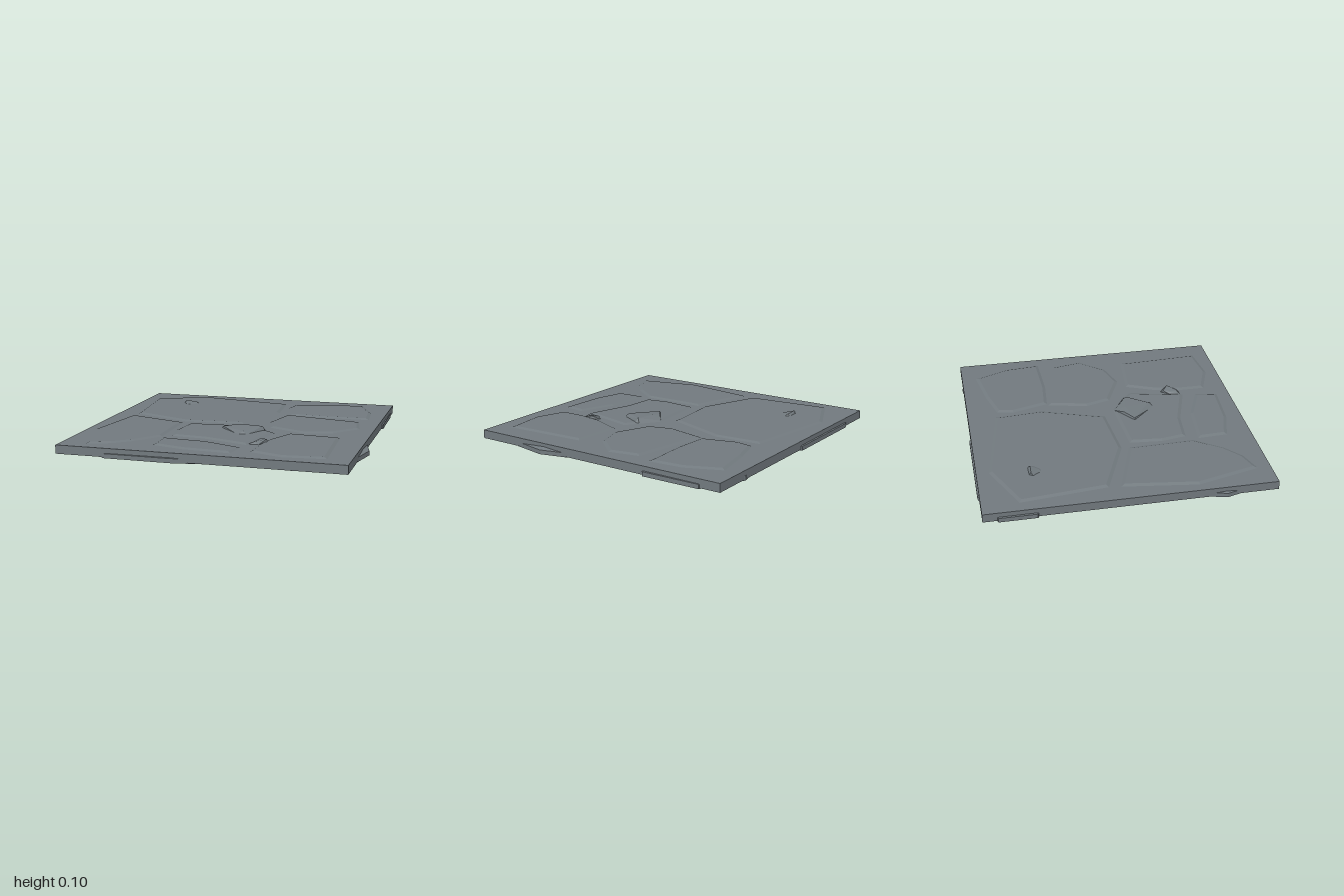
import * as THREE from 'three';
import { ConvexGeometry } from 'three/addons/geometries/ConvexGeometry.js';

const stoneGrey = new THREE.MeshStandardMaterial({ color: 0x71797e, flatShading: true, side: THREE.DoubleSide });
stoneGrey.name = 'stone grey';

// Moves every edge of an outline inwards by the same distance
function insetOutline(outline, distance) {
  const n = outline.length;
  const normal = (p, q) => {
    const dx = q[0] - p[0], dz = q[1] - p[1], l = Math.hypot(dx, dz);
    return [-dz / l, dx / l];
  };
  return outline.map((p, i) => {
    const a = normal(outline[(i + n - 1) % n], p);
    const b = normal(p, outline[(i + 1) % n]);
    const k = distance / (1 + a[0] * b[0] + a[1] * b[1]);
    return [p[0] + (a[0] + b[0]) * k, p[1] + (a[1] + b[1]) * k];
  });
}

// Hollow shell open below: outline of [x, z], rings of [inset, y] from low to high, closed on top
function shellGeometry(outline, rings) {
  const n = outline.length;
  const cx = outline.reduce((s, p) => s + p[0], 0) / n;
  const cz = outline.reduce((s, p) => s + p[1], 0) / n;
  const loops = rings.map(([inset, y]) => insetOutline(outline, inset).map(([x, z]) => [x, y, z]));
  const pos = [];
  const tri = (...points) => points.forEach((p) => pos.push(...p));
  const top = loops[loops.length - 1];
  for (let i = 0; i < n; i++) {
    const j = (i + 1) % n;
    tri([cx, top[0][1], cz], top[j], top[i]);
    for (let r = 0; r + 1 < loops.length; r++) {
      const a = loops[r], b = loops[r + 1];
      tri(a[j], a[i], b[i]);
      tri(a[j], b[i], b[j]);
    }
  }
  const g = new THREE.BufferGeometry();
  g.setAttribute('position', new THREE.Float32BufferAttribute(pos, 3));
  g.computeVertexNormals();
  return g;
}

const slab = [[-.98, -.97], [.96, -.97], [.96, .97], [-.98, .97]];

// Raised paving stones on the top face
const paving = [
  [[-.89, -.72], [-.53, -.88], [.15, -.77], [.175, -.44], [.02, -.005], [-.4, .03], [-.83, -.14]],
  [[.23, -.75], [.45, -.81], [.74, -.86], [.84, -.62], [.86, -.38], [.52, -.37], [.28, -.39], [.21, -.64]],
  [[.26, -.37], [.81, -.26], [.85, -.05], [.7, .12], [.5, .18], [.25, .07], [.2, -.1]],
  [[-.84, -.05], [-.41, .09], [-.4, .54], [-.53, .72], [-.65, .82], [-.8, .87], [-.91, .45]],
  [[-.34, .11], [.1, .08], [.31, .24], [.22, .62], [-.1, .52], [-.33, .5], [-.36, .33]],
  [[-.37, .59], [-.05, .62], [.2, .72], [.18, .87], [-.14, .85], [-.36, .79]],
  [[.42, .24], [.77, .27], [.8, .85], [.52, .88], [.3, .8], [.3, .62], [.33, .45]],
];

// Foundation stones inside the slab, poking out at its edges
const foundation = [
  [[.15, -.85], [.67, -.975], [.965, -.82], [.97, -.4], [.6, -.3], [.15, -.45]],
  [[-.99, -.87], [-.72, -.98], [-.06, -.98], [.1, -.7], [0, -.4], [-.5, -.3], [-.99, -.62]],
  [[-.95, .1], [-.5, .1], [-.35, .45], [-.45, .85], [-.8, .93], [-.97, .72], [-1, .62], [-.97, .5]],
  [[.35, .25], [.75, .1], [.95, .22], [1, .42], [.95, .66], [.85, .85], [.6, .95], [.25, .85], [.2, .5]],
  [[.2, -.35], [.8, -.3], [.92, 0], [.6, .15], [.2, .15], [.05, -.1]],
  [[-.97, -.45], [-.5, -.3], [-.1, -.35], [0, 0], [-.3, .15], [-.88, .1]],
  [[-.4, .7], [-.15, .55], [.15, .65], [.2, .92], [-.18, .98], [-.65, .975]],
  [[-.4, .15], [.05, .05], [.3, .2], [.2, .55], [-.2, .55], [-.42, .4]],
];

// Smaller stones wedged between them
const wedges = [
  [[-.15, -.5], [.15, -.55], [.3, -.3], [.15, -.05], [-.1, -.15]],
  [[-.6, .0], [-.25, -.02], [-.15, .25], [-.4, .4], [-.62, .2]],
  [[.05, .0], [.3, .05], [.45, .25], [.25, .4], [.05, .2]],
  [[-.5, .5], [-.25, .42], [-.05, .6], [-.2, .75], [-.5, .75]],
  [[.05, .5], [.3, .45], [.38, .7], [.3, .94], [.1, .94]],
];

// Loose rocks: hull corners as [x, y, z]
const rocks = [
  [[-.075, .07, .2], [.09, .07, .08], [.23, .07, .17], [.235, .07, .2], [.15, .07, .36], [.09, .07, .37],
    [-.065, .086, .2], [.02, .092, .14], [.08, .098, .16], [.215, .1, .19], [.12, .09, .34]],
  [[-.63, .07, -.6], [-.61, .07, -.63], [-.52, .07, -.63], [-.505, .07, -.59], [-.55, .07, -.54], [-.59, .07, -.54],
    [-.615, .092, -.615], [-.53, .085, -.61], [-.57, .08, -.555]],
  [[.29, .067, .47], [.345, .067, .53], [.3, .067, .6], [.23, .067, .61], [.25, .067, .53],
    [.28, .082, .49], [.335, .092, .53], [.26, .08, .59]],
];

export function createModel() {
  const model = new THREE.Group();
  model.name = 'stone floor tile';
  const add = (geometry, name) => {
    const mesh = new THREE.Mesh(geometry, stoneGrey);
    mesh.name = name;
    model.add(mesh);
  };
  const addStones = (outlines, rings, name) => outlines.forEach(
    (outline, i) => add(shellGeometry(outline, rings), `${name}${i + 1}`));

  add(shellGeometry(slab, [[0, .006], [0, .065]]), 'slab');
  addStones(paving, [[-.006, .065], [.016, .074]], 'pavingStone');
  addStones(foundation, [[0, 0], [0, .03], [.09, .058]], 'foundationStone');
  addStones(wedges, [[0, .004], [0, .03], [.05, .05]], 'wedgeStone');
  rocks.forEach((pts, i) => add(
    new ConvexGeometry(pts.map((p) => new THREE.Vector3(...p))), `looseRock${i + 1}`));

  return model;
}
